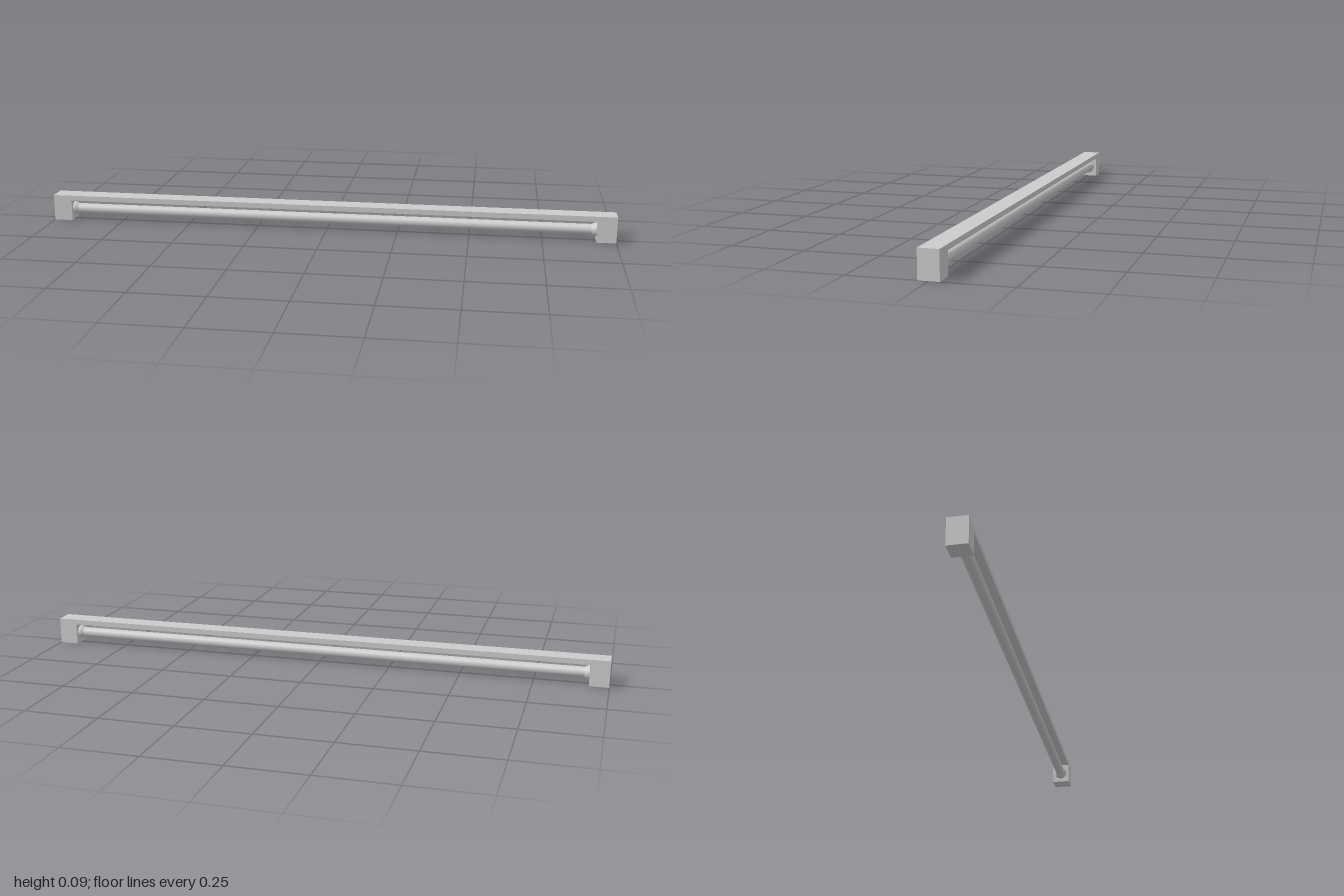
import * as THREE from 'three';

export function createModel() {
  const group = new THREE.Group();
  const material = new THREE.MeshStandardMaterial({ color: 0xcccccc });
  const add = (name, geometry) => {
    const mesh = new THREE.Mesh(geometry, material);
    mesh.name = name;
    group.add(mesh);
    return mesh;
  };

  // One-piece housing: long top rail with a block hanging at each end
  const height = 0.092, depth = 0.066, railBottom = 0.074, inner = 0.934;
  const outline = new THREE.Shape([
    [-1, 0], [-inner, 0], [-inner, railBottom], [inner, railBottom],
    [inner, 0], [1, 0], [1, height], [-1, height],
  ].map(([x, y]) => new THREE.Vector2(x, y)));
  const housing = new THREE.ExtrudeGeometry(outline, { depth, bevelEnabled: false });
  housing.translate(0, 0, -depth / 2);
  add('housing', housing);

  // Lamp tube between the end blocks
  const tubeY = 0.038, radius = 0.018;
  const tube = add('lampTube', new THREE.CylinderGeometry(radius, radius, 2 * inner, 32, 1, true));
  tube.rotation.z = Math.PI / 2;
  tube.position.y = tubeY;

  // Flared sockets holding the tube
  const profile = [[0.024, 0], [0.024, 0.006], [0.021, 0.012], [radius, 0.018]]
    .map(([r, y]) => new THREE.Vector2(r, y));
  for (const side of [-1, 1]) {
    const socket = add(side > 0 ? 'leftSocket' : 'rightSocket', new THREE.LatheGeometry(profile, 32));
    socket.rotation.z = side * Math.PI / 2;
    socket.position.set(side * inner, tubeY, 0);
  }
  return group;
}
